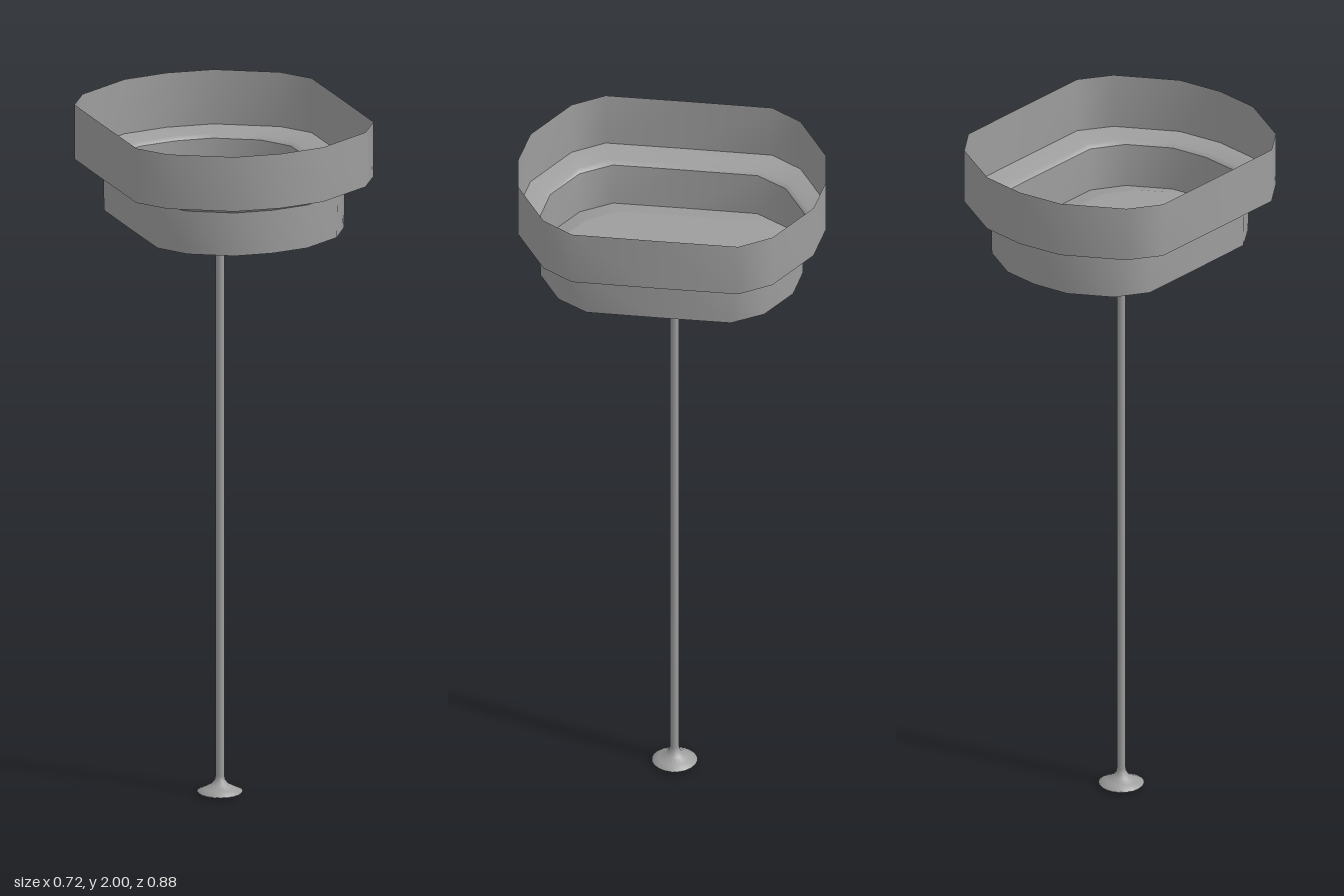
import * as THREE from 'three';

const grey = new THREE.MeshStandardMaterial({ color: 0x9d9d9d, side: THREE.DoubleSide });

// One quarter of the bowl outline [x, z] at the rim, and how far each corner
// moves inwards for inset = 1
const rim = [[0, 0.438], [0.135, 0.421], [0.3, 0.326], [0.36, 0.237], [0.361, 0]];
const inward = [[0, 0.065], [0.025, 0.061], [0.074, 0.033], [0.077, 0.032], [0.077, 0]];

// Full closed outline at a given inset, mirrored from the quarter
function outline(inset) {
  const q = rim.map(([x, z], i) => [x - inset * inward[i][0], z - inset * inward[i][1]]);
  const half = [...q, ...q.slice(0, -1).reverse().map(([x, z]) => [x, -z])];
  return [...half, ...half.slice(1, -1).reverse().map(([x, z]) => [-x, z])];
}

// Smooth skin through stacked outlines [inset, y]
function skin(levels) {
  const pos = [], index = [];
  let n = 0;
  for (const [inset, y] of levels) {
    const ring = outline(inset);
    n = ring.length;
    for (const [x, z] of ring) pos.push(x, y, z);
  }
  for (let i = 0; i < levels.length - 1; i++) {
    for (let j = 0; j < n; j++) {
      const k = (j + 1) % n;
      const a = i * n + j, b = (i + 1) * n + j, c = (i + 1) * n + k, d = i * n + k;
      index.push(a, b, c, a, c, d);
    }
  }
  const g = new THREE.BufferGeometry();
  g.setAttribute('position', new THREE.Float32BufferAttribute(pos, 3));
  g.setIndex(index);
  g.computeVertexNormals();
  return g;
}

function add(parent, name, geometry) {
  const mesh = new THREE.Mesh(geometry, grey);
  mesh.name = name;
  parent.add(mesh);
  return mesh;
}

export function createModel() {
  const model = new THREE.Group();
  model.name = 'steppedBowlOnRod';

  const bowl = new THREE.Group();
  bowl.name = 'bowl';
  model.add(bowl);

  // Thin stepped wall, in separate skins so the edges between them stay crisp
  const floorInset = 1.83, floorY = 1.705;
  add(bowl, 'upperWall', skin([[0, 2], [0, 1.84]]));
  add(bowl, 'ledge', skin([[0, 1.84], [0.8, 1.828], [0.97, 1.817]]));
  add(bowl, 'lowerWall', skin([[0.97, 1.817], [1, 1.69]]));

  // Sloped band rising inwards from the bottom edge to the floor
  add(bowl, 'floorBand', skin([[1, 1.69], [floorInset, floorY]]));

  // Flat raised floor
  const shape = new THREE.Shape(outline(floorInset).map(([x, z]) => new THREE.Vector2(x, z)));
  add(bowl, 'floor', new THREE.ShapeGeometry(shape).rotateX(Math.PI / 2)).position.y = floorY;

  // Rod with a flared flange at both ends
  const flare = [[0.06, 0.002], [0.065, 0.008], [0.045, 0.017], [0.024, 0.029], [0.015, 0.041], [0.0125, 0.053]];
  const profile = [
    [0, 0],
    ...flare,
    ...flare.map(([r, y]) => [r, floorY - y]).reverse(),
    [0, floorY],
  ].map(([r, y]) => new THREE.Vector2(r, y));
  const rod = add(model, 'rodWithFlanges', new THREE.LatheGeometry(profile, 20));
  rod.position.set(-0.01, 0, -0.006);

  return model;
}
